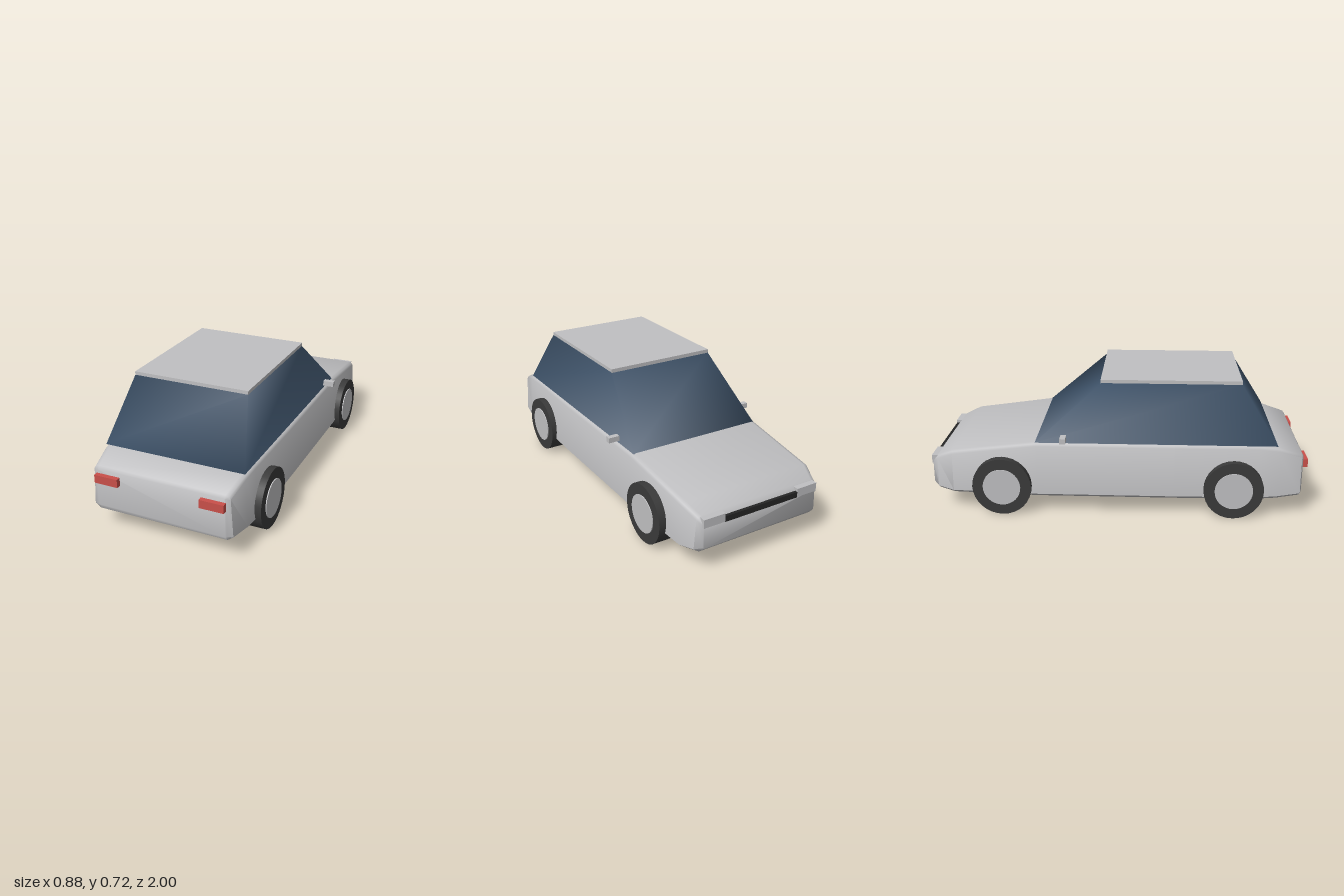
import * as THREE from 'three';
import { toCreasedNormals } from 'three/addons/utils/BufferGeometryUtils.js';

const mat = (name, color, extra = {}) => Object.assign(new THREE.MeshStandardMaterial({ color, ...extra }), { name });

// Skin between rings of [x, y, z]; each ring runs counter-clockwise seen from the first end.
function loft(rings, capped) {
  const n = rings[0].length, index = [];
  for (let i = 0; i < rings.length - 1; i++) {
    for (let j = 0; j < n; j++) {
      const a = i * n + j, b = i * n + (j + 1) % n, c = a + n, d = b + n;
      index.push(a, c, b, b, c, d);
    }
  }
  if (capped) {
    const e = (rings.length - 1) * n;
    for (let j = 1; j < n - 1; j++) index.push(0, j, j + 1, e, e + j + 1, e + j);
  }
  const g = new THREE.BufferGeometry();
  g.setAttribute('position', new THREE.Float32BufferAttribute(rings.flat(2), 3));
  g.setIndex(index);
  g.computeVertexNormals();
  return g;
}

export function createModel() {
  const car = new THREE.Group();
  car.name = 'car';
  const silver = mat('silver paint', 0xc0c0c2);
  const glass = mat('tinted glass', 0x3c5066, { side: THREE.DoubleSide });
  const rubber = mat('tyre rubber', 0x3a3a3a);
  const black = mat('grille black', 0x262626);
  const red = mat('tail light red', 0xc9504a);

  const add = (name, geometry, material, x = 0, y = 0, z = 0) => {
    const m = new THREE.Mesh(geometry, material);
    m.name = name;
    m.position.set(x, y, z);
    car.add(m);
    return m;
  };
  // Box given by its minimum and maximum corners
  const box = (name, material, [x0, y0, z0], [x1, y1, z1]) =>
    add(name, new THREE.BoxGeometry(x1 - x0, y1 - y0, z1 - z0), material, (x0 + x1) / 2, (y0 + y1) / 2, (z0 + z1) / 2);

  // Body: sections from tail to nose as [z, bottom, top, half width]
  const sections = [
    [0.975, 0.125, 0.33, 0.347], [0.965, 0.107, 0.345, 0.375], [0.84, 0.095, 0.383, 0.393],
    [0.74, 0.09, 0.395, 0.4], [0.3, 0.088, 0.395, 0.404], [-0.43, 0.088, 0.395, 0.404],
    [-0.88, 0.095, 0.337, 0.39], [-0.965, 0.108, 0.3, 0.365], [-0.995, 0.138, 0.265, 0.335],
  ];
  const bodyRing = ([z, y0, y1, w], i) => {
    const k = i === 0 || i === sections.length - 1 ? 0.3 : 1; // tighter corners at the ends
    const right = [
      [w - 0.03 * k, y0], [w, y0 + 0.022 * k], [w - 0.012 * k, y1 - 0.018 * k],
      [w - 0.02 * k, y1 - 0.006 * k], [w - 0.038 * k, y1],
    ];
    const left = right.map(([x, y]) => [-x, y]).reverse();
    return [...right, ...left].map(([x, y]) => [x, y, z]);
  };
  add('body', toCreasedNormals(loft(sections.map(bodyRing), true), 0.95), silver);

  // Cabin glass and roof panel
  const glassRing = (y, w, back, front) => [[w, y, back], [w, y, front], [-w, y, front], [-w, y, back]];
  add('cabinGlass', loft([glassRing(0.702, 0.306, 0.642, -0.087), glassRing(0.392, 0.376, 0.835, -0.437)], false), glass);
  box('roof', silver, [-0.306, 0.7, -0.09], [0.306, 0.72, 0.642]);

  // Grille between the headlights
  box('grille', black, [-0.215, 0.248, -1], [0.215, 0.278, -0.965]);

  const tyre = new THREE.CylinderGeometry(0.157, 0.157, 0.092, 32).rotateZ(Math.PI / 2);
  const hub = new THREE.CylinderGeometry(0.1, 0.1, 0.098, 32).rotateZ(Math.PI / 2);
  for (const s of [1, -1]) {
    const side = s > 0 ? 'left' : 'right';
    const pair = (name, material, [x0, y0, z0], [x1, y1, z1]) =>
      box(side + name, material, [Math.min(s * x0, s * x1), y0, z0], [Math.max(s * x0, s * x1), y1, z1]);
    pair('Headlight', silver, [0.215, 0.25, -1], [0.335, 0.295, -0.955]);
    pair('TailLight', red, [0.217, 0.267, 0.965], [0.344, 0.31, 1]);
    pair('Mirror', silver, [0.38, 0.411, -0.297], [0.44, 0.439, -0.267]);
    // Wheels with slightly raised hubs
    for (const z of [0.612, -0.612]) {
      const end = z < 0 ? 'Front' : 'Rear';
      add(side + end + 'Tyre', tyre, rubber, s * 0.383, 0.157, z);
      add(side + end + 'Hub', hub, silver, s * 0.385, 0.157, z);
    }
  }
  return car;
}
